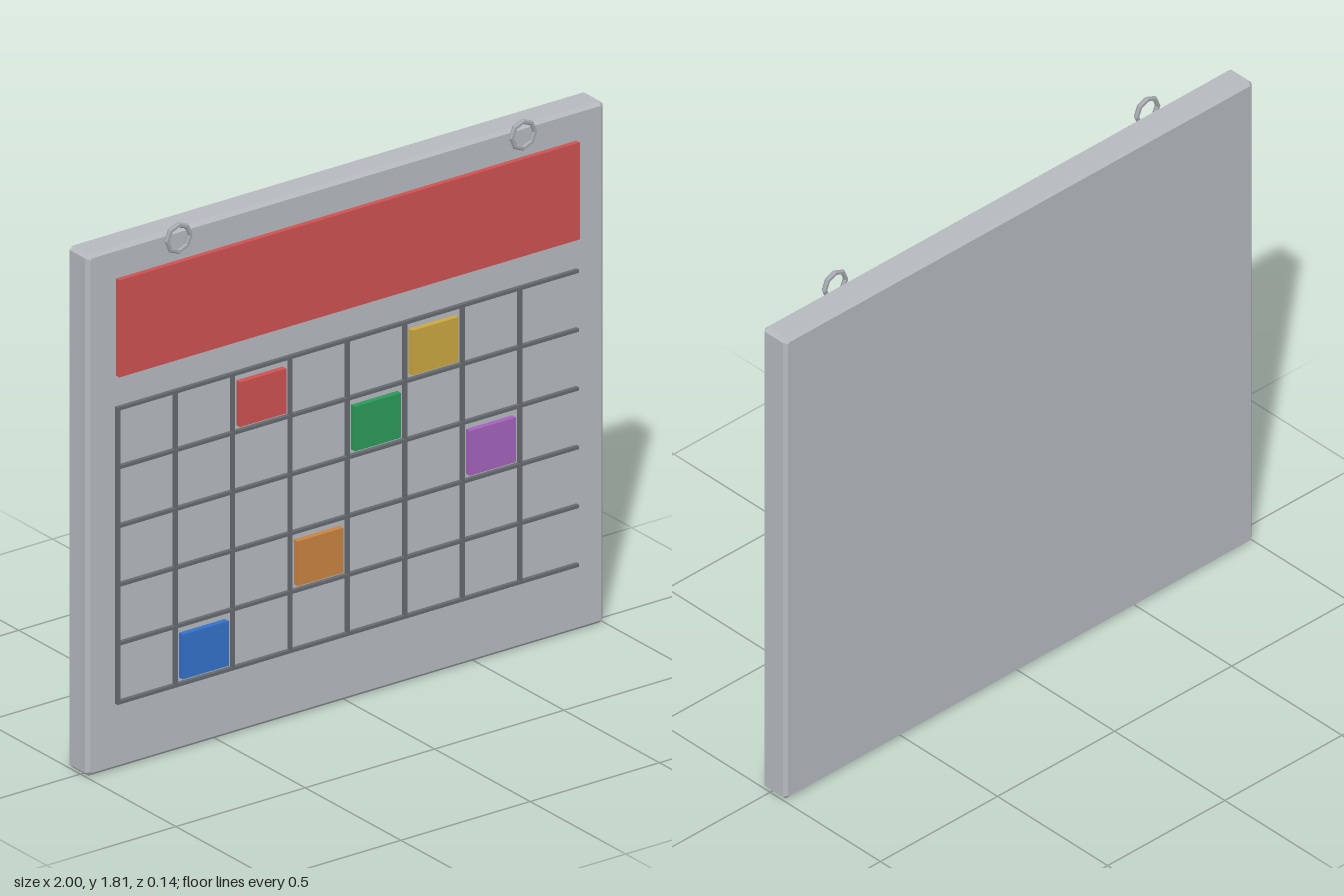
import * as THREE from 'three';

const mat = (name, color, flatShading = false) => {
  const m = new THREE.MeshStandardMaterial({ color, flatShading });
  m.name = name;
  return m;
};

export function createModel() {
  const group = new THREE.Group();
  const grey = mat('board grey', 0xb6babf);
  const dark = mat('grid grey', 0x666b70);
  const steel = mat('ring steel', 0xa4a8ac, true);
  const red = mat('red', 0xcf5252);
  const yellow = mat('yellow', 0xcaa842);
  const green = mat('green', 0x2c9a5a);
  const purple = mat('purple', 0xa463bc);
  const orange = mat('orange', 0xc98442);
  const blue = mat('blue', 0x3472cc);

  const add = (name, geometry, material, x, y, z) => {
    const mesh = new THREE.Mesh(geometry, material);
    mesh.name = name;
    mesh.position.set(x, y, z);
    group.add(mesh);
    return mesh;
  };

  const boardFront = 0.037;
  // Raised plate whose back sits just inside the board
  const plate = (name, material, x, y, w, h, front) => {
    const back = boardFront - 0.004;
    add(name, new THREE.BoxGeometry(w, h, front - back), material, x, y, (front + back) / 2);
  };

  // Board with chamfered edges and clipped corners
  const bevel = 0.012, cut = 0.005;
  const w = 1 - bevel, y0 = bevel, y1 = 1.775 - bevel;
  const outline = new THREE.Shape([
    [-w + cut, y0], [w - cut, y0], [w, y0 + cut], [w, y1 - cut],
    [w - cut, y1], [-w + cut, y1], [-w, y1 - cut], [-w, y0 + cut],
  ].map(([x, y]) => new THREE.Vector2(x, y)));
  const board = new THREE.ExtrudeGeometry(outline, {
    depth: 0.106 - 2 * bevel, bevelEnabled: true, bevelSize: bevel,
    bevelThickness: bevel, bevelSegments: 1,
  });
  add('board', board, grey, 0, 0, boardFront - 0.106 + bevel);

  // Header banner
  plate('headerBanner', red, 0, 1.505, 1.78, 0.33, 0.055);

  // Calendar grid, open on its right edge
  const cellW = 0.222, cellH = 0.2, left = -0.888, bottom = 0.23;
  for (let i = 0; i < 8; i++) {
    plate('gridColumnLine', dark, left + i * cellW, bottom + 0.5, 0.011, 1.011, 0.05);
  }
  for (let j = 0; j < 6; j++) {
    plate('gridRowLine', dark, 0, bottom + j * cellH, 1.78, 0.011, 0.0505);
  }

  // Coloured day markers: column, row from the bottom
  const markers = [
    [2, 4, red], [5, 4, yellow], [4, 3, green],
    [6, 2, purple], [3, 1, orange], [1, 0, blue],
  ];
  for (const [c, r, m] of markers) {
    plate('dayMarker', m, left + (c + 0.49) * cellW, bottom + (r + 0.475) * cellH, 0.178, 0.152, 0.057);
  }

  // Hanging rings
  for (const side of [-1, 1]) {
    add('hangingRing', new THREE.TorusGeometry(0.045, 0.009, 6, 8), steel, side * 0.666, 1.758, 0.061);
  }
  return group;
}
